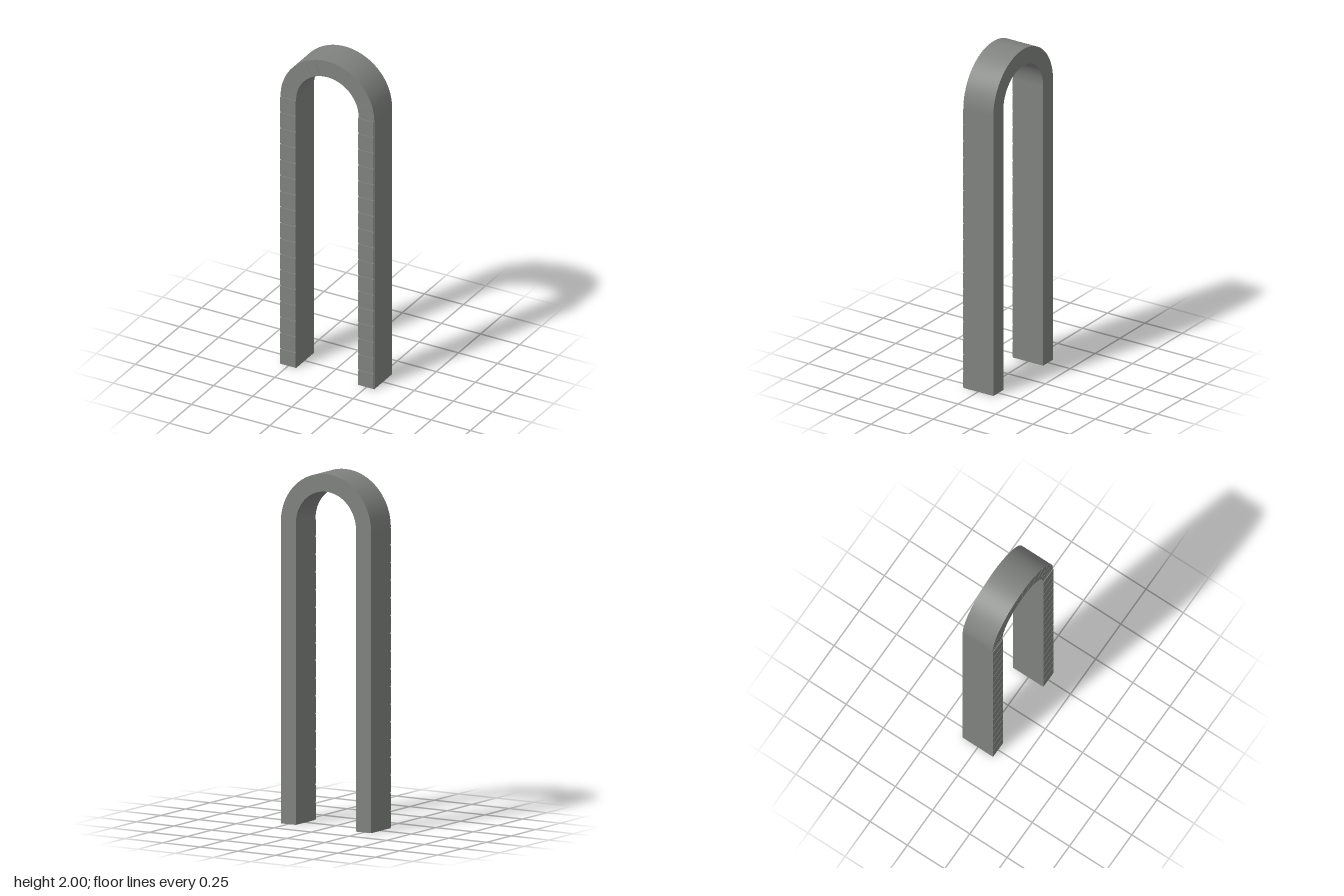
import * as THREE from 'three';
import { toCreasedNormals } from 'three/addons/utils/BufferGeometryUtils.js';

const OUTER = 0.3, INNER = 0.2, SPRING = 1.7;
const BACK = -0.1025, FACE = 0.0975;

// Ring sector around the arch centre, extruded along z from z0 to z1
function sector(a0, a1, z0, z1, segments) {
  const shape = new THREE.Shape();
  shape.absarc(0, 0, OUTER, a0, a1, false);
  shape.absarc(0, 0, INNER, a1, a0, true);
  shape.closePath();
  const geo = new THREE.ExtrudeGeometry(shape, {
    depth: z1 - z0, bevelEnabled: false, curveSegments: segments,
  });
  geo.translate(0, SPRING, z0);
  return toCreasedNormals(geo, 0.5);
}

export function createModel() {
  const model = new THREE.Group();
  model.name = 'stoneArch';
  const stone = new THREE.MeshStandardMaterial({ color: 0x808280 });
  stone.name = 'grey stone';

  const add = (name, geo, parent = model) => {
    const mesh = new THREE.Mesh(geo, stone);
    mesh.name = name;
    parent.add(mesh);
    return mesh;
  };

  // Straight legs with a column of thin facing bricks on the front
  const rows = 17, pitch = SPRING / rows, gap = 0.008;
  for (const [side, s] of [['left', 1], ['right', -1]]) {
    const leg = new THREE.Group();
    leg.name = side + 'Leg';
    model.add(leg);
    add(side + 'Pillar', new THREE.BoxGeometry(0.1, SPRING, FACE - BACK), leg)
      .position.set(0.25 * s, SPRING / 2, (FACE + BACK) / 2);
    const brick = new THREE.BoxGeometry(0.098, pitch - gap, 0.005);
    for (let i = 0; i < rows; i++) {
      add(side + 'Brick', brick, leg)
        .position.set(0.25 * s - 0.001, (i + 0.5) * pitch, FACE + 0.0025);
    }
  }

  // Semicircular arch body
  add('archRing', sector(0, Math.PI, BACK, FACE - 0.001, 40));

  // Wedge stones on the arch face, jointed every 14 degrees from the crown
  const deg = Math.PI / 180, joints = [0];
  for (let k = -6; k <= 6; k++) joints.push(90 + 14 * k);
  joints.push(180);
  for (let i = 0; i < joints.length - 1; i++) {
    const a0 = joints[i] + (i > 0 ? 0.5 : 0);
    const a1 = joints[i + 1] - (i < joints.length - 2 ? 0.5 : 0);
    add('wedgeStone', sector(a0 * deg, a1 * deg, FACE - 0.001, FACE + 0.0005, 4));
  }
  return model;
}
